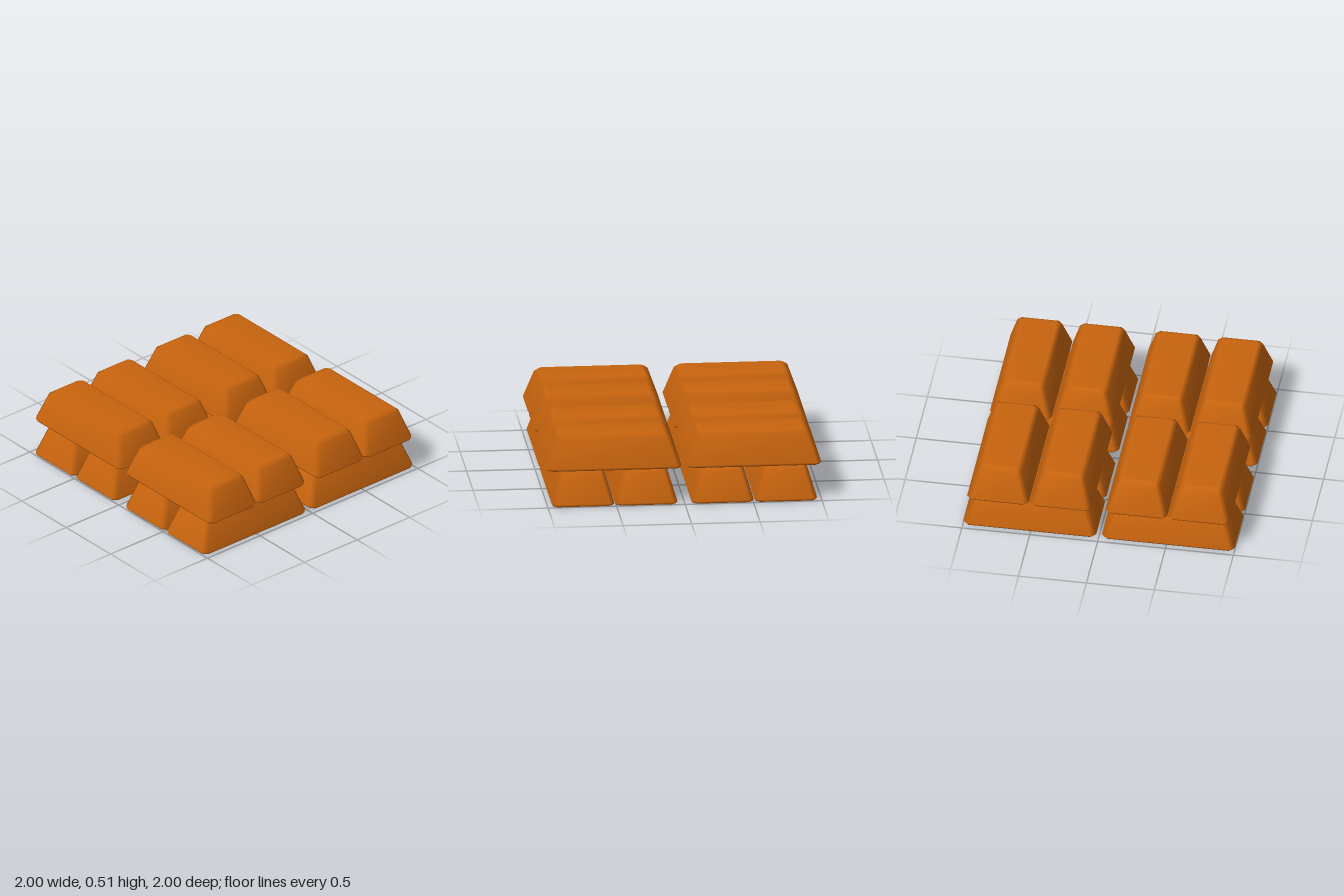
import * as THREE from 'three';

// Tapered bar, long along z, built from chamfered-rectangle loops with shared smooth vertices
function barGeometry() {
  // [y, half width, half length, corner cut]
  const rings = [
    [0, 0.217, 0.478, 0.03],
    [0.018, 0.228, 0.49, 0.033],
    [0.227, 0.165, 0.414, 0.03],
    [0.252, 0.132, 0.38, 0.018],
  ];
  const pos = [];
  const index = [];
  for (const [y, w, l, c] of rings) {
    const loop = [
      [w, -l + c], [w, l - c], [w - c, l], [-w + c, l],
      [-w, l - c], [-w, -l + c], [-w + c, -l], [w - c, -l],
    ];
    for (const [x, z] of loop) pos.push(x, y, z);
  }
  // Sides
  for (let r = 0; r < rings.length - 1; r++) {
    for (let i = 0; i < 8; i++) {
      const a = r * 8 + i, b = r * 8 + (i + 1) % 8;
      index.push(a, a + 8, b, b, a + 8, b + 8);
    }
  }
  // Flat top and underside, each as three strips across the bar
  const top = (rings.length - 1) * 8;
  for (const [a, b, c, d] of [[1, 2, 3, 4], [0, 1, 4, 5], [7, 0, 5, 6]]) {
    index.push(top + a, top + c, top + b, top + a, top + d, top + c);
    index.push(a, b, c, a, c, d);
  }
  // Keep the top strips facing up
  const g = new THREE.BufferGeometry();
  g.setAttribute('position', new THREE.Float32BufferAttribute(pos, 3));
  const p = g.getAttribute('position');
  const A = new THREE.Vector3(), B = new THREE.Vector3(), C = new THREE.Vector3();
  const centre = new THREE.Vector3(0, 0.12, 0);
  for (let i = 0; i < index.length; i += 3) {
    A.fromBufferAttribute(p, index[i]);
    B.fromBufferAttribute(p, index[i + 1]);
    C.fromBufferAttribute(p, index[i + 2]);
    const out = A.clone().sub(centre);
    const n = B.sub(A).cross(C.sub(A));
    if (n.dot(out) < 0) [index[i + 1], index[i + 2]] = [index[i + 2], index[i + 1]];
  }
  g.setIndex(index);
  g.computeVertexNormals();
  return g;
}

export function createModel() {
  const model = new THREE.Group();
  model.name = 'barStack';
  const copper = new THREE.MeshStandardMaterial({ color: 0xc8640e });
  copper.name = 'copper';
  const geometry = barGeometry();

  const across = [-0.742, -0.281, 0.276, 0.738]; // centres side by side
  const along = [-0.51, 0.51];                   // centres end to end

  const lower = new THREE.Group();
  lower.name = 'lowerLayer';
  const upper = new THREE.Group();
  upper.name = 'upperLayer';
  upper.position.y = 0.26;

  for (const a of across) {
    for (const b of along) {
      // Lower bars lie along x
      const low = new THREE.Mesh(geometry, copper);
      low.name = 'lowerBar';
      low.rotation.y = Math.PI / 2;
      low.position.set(b, 0, -a);
      lower.add(low);
      // Upper bars lie along z
      const high = new THREE.Mesh(geometry, copper);
      high.name = 'upperBar';
      high.position.set(a, 0, b);
      upper.add(high);
    }
  }
  model.add(lower, upper);
  return model;
}
